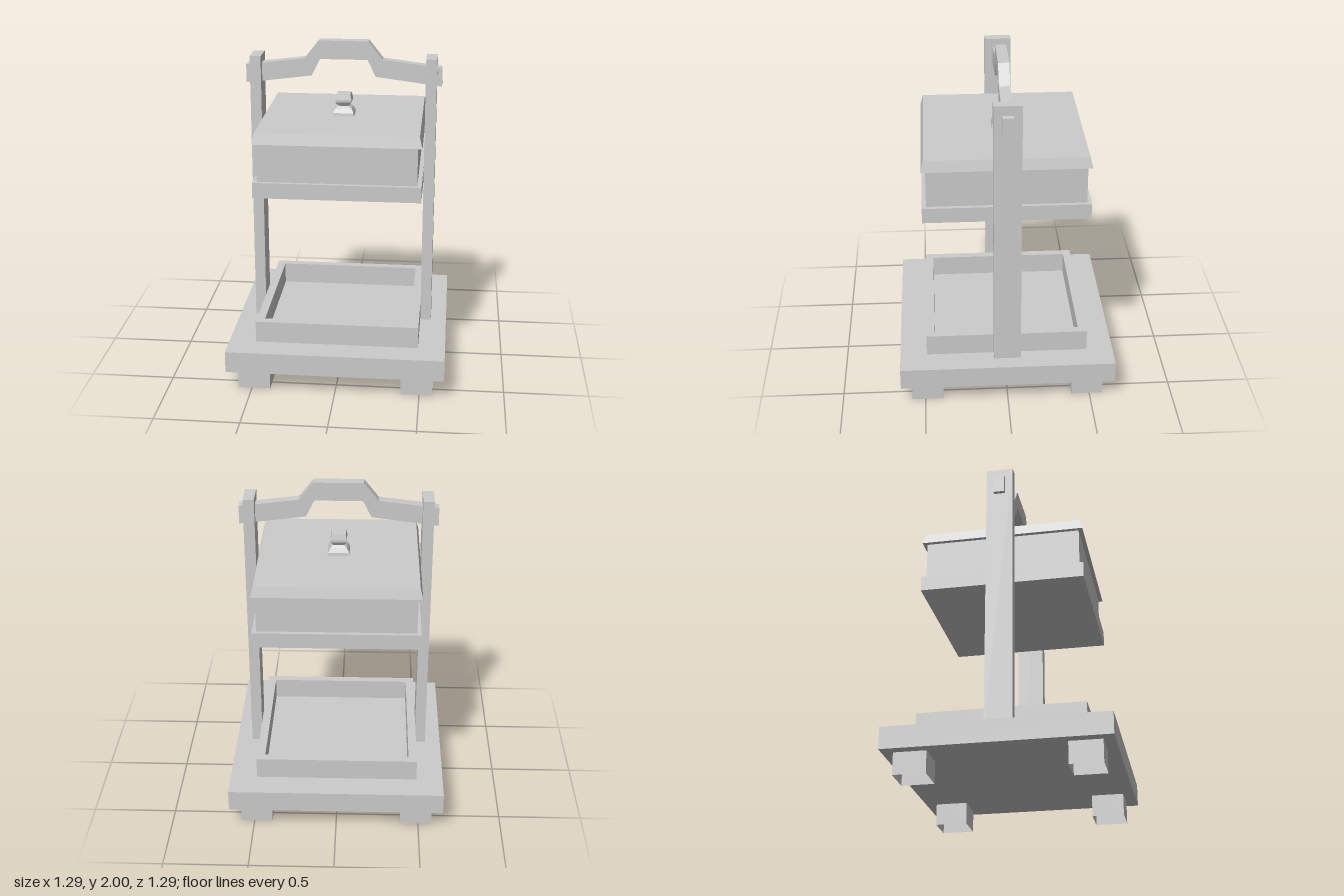
import * as THREE from 'three';

const grey = new THREE.MeshStandardMaterial({ color: 0xcccccc, flatShading: true });
const greyDouble = new THREE.MeshStandardMaterial({ color: 0xcccccc, flatShading: true, side: THREE.DoubleSide });

export function createModel() {
  const model = new THREE.Group();

  function add(name, geometry, x = 0, y = 0, z = 0, material = grey) {
    const mesh = new THREE.Mesh(geometry, material);
    mesh.name = name;
    mesh.position.set(x, y, z);
    model.add(mesh);
    return mesh;
  }

  // Box given by its centre in x and z and its bottom and top heights
  function box(name, w, d, y0, y1, x = 0, z = 0) {
    return add(name, new THREE.BoxGeometry(w, y1 - y0, d), x, (y0 + y1) / 2, z);
  }

  // Square-section solid from [half width, height] pairs, bottom to top
  function squareProfile(pairs) {
    const points = pairs.map(([h, y]) => new THREE.Vector2(h * Math.SQRT2, y));
    const geometry = new THREE.LatheGeometry(points, 4).rotateY(Math.PI / 4).toNonIndexed();
    geometry.computeVertexNormals();
    return geometry;
  }

  // Base plate on four hollow feet
  box('basePlate', 1.29, 1.29, 0.13, 0.26);
  for (const sx of [-1, 1]) {
    for (const sz of [-1, 1]) {
      add('foot', squareProfile([[0.095, 0], [0.095, 0.13]]), sx * 0.485, 0, sz * 0.485, greyDouble);
    }
  }

  // Raised tray rim on the base
  const rim = new THREE.Shape();
  rim.moveTo(-0.485, -0.485).lineTo(0.485, -0.485).lineTo(0.485, 0.485).lineTo(-0.485, 0.485).closePath();
  const opening = new THREE.Path();
  opening.moveTo(-0.435, -0.435).lineTo(-0.435, 0.435).lineTo(0.435, 0.435).lineTo(0.435, -0.435).closePath();
  rim.holes.push(opening);
  const rimGeometry = new THREE.ExtrudeGeometry(rim, { depth: 0.13, bevelEnabled: false });
  add('trayRim', rimGeometry.rotateX(-Math.PI / 2), 0, 0.26, 0);

  // Side posts
  for (const s of [-1, 1]) box('post', 0.065, 0.16, 0.26, 1.91, s * 0.5175);

  // Hanging box with its lower slab and bevelled lid
  box('boxSlab', 0.97, 0.97, 1.17, 1.262);
  box('boxBody', 0.92, 0.92, 1.262, 1.49);
  add('lid', squareProfile([[0, 1.49], [0.485, 1.49], [0.469, 1.555], [0, 1.555]]));

  // Square knob on the lid
  add('knob', squareProfile([
    [0.064, 1.555], [0.062, 1.572], [0.05, 1.595], [0.032, 1.61],
    [0.048, 1.635], [0.048, 1.65], [0.041, 1.682], [0, 1.682],
  ]));

  // Arched carrying handle whose ends pass through the posts
  const upper = [[0.58, 1.85], [0.23, 1.893], [0.145, 2]];
  const lower = [[0.14, 1.89], [0.19, 1.79], [0.58, 1.74]];
  const mirror = (list) => list.map(([x, y]) => [-x, y]).reverse();
  const outline = [...upper, ...mirror(upper), ...mirror(lower), ...lower];
  const handle = new THREE.Shape(outline.map(([x, y]) => new THREE.Vector2(x, y)));
  add('handle', new THREE.ExtrudeGeometry(handle, { depth: 0.064, bevelEnabled: false }), 0, 0, -0.032);

  return model;
}
